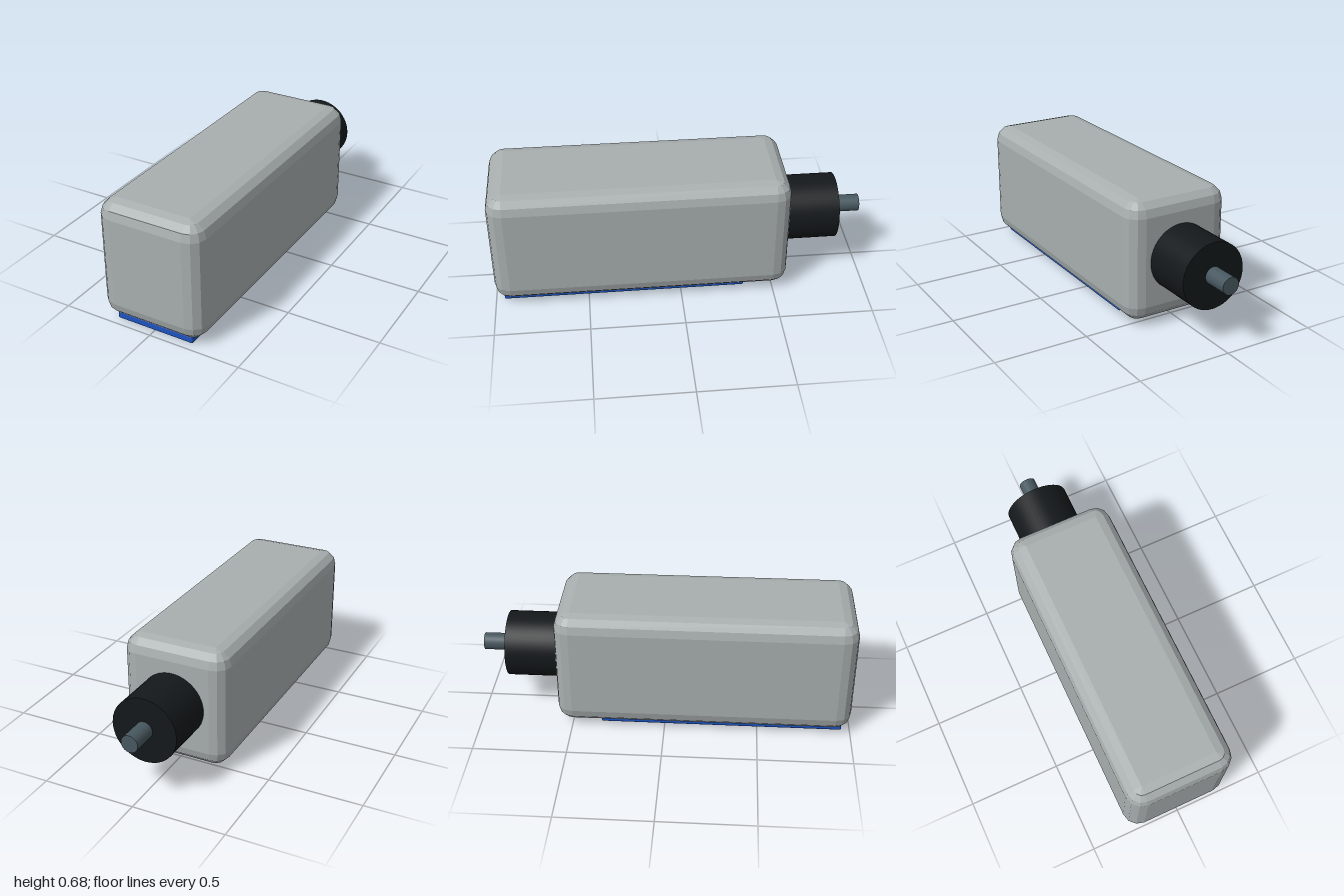
import * as THREE from 'three';

// Box with every edge rounded, built from stacked rounded-rectangle rings.
function roundedBox(w, h, d, r, seg) {
  const quarter = Math.PI / 2;
  const n = 4 * (seg + 1);
  const positions = [];
  const index = [];
  let rings = 0;
  for (const end of [-1, 1]) {
    for (let i = 0; i <= seg; i++) {
      const lat = (end < 0 ? i - seg : i) / seg * quarter;
      const y = end * (h / 2 - r) + r * Math.sin(lat);
      const rr = r * Math.cos(lat);
      for (let c = 0; c < 4; c++) {
        const sx = c === 0 || c === 3 ? 1 : -1;
        const sz = c < 2 ? 1 : -1;
        for (let k = 0; k <= seg; k++) {
          const a = (c + k / seg) * quarter;
          positions.push(sx * (w / 2 - r) + rr * Math.cos(a), y, sz * (d / 2 - r) + rr * Math.sin(a));
        }
      }
      rings++;
    }
  }
  for (let j = 0; j < rings - 1; j++) {
    for (let i = 0; i < n; i++) {
      const a = j * n + i;
      const b = j * n + (i + 1) % n;
      index.push(a, a + n, b, b, a + n, b + n);
    }
  }
  // Flat caps
  const top = (rings - 1) * n;
  for (let i = 1; i < n - 1; i++) {
    index.push(0, i, i + 1, top, top + i + 1, top + i);
  }
  const geometry = new THREE.BufferGeometry();
  geometry.setAttribute('position', new THREE.Float32BufferAttribute(positions, 3));
  geometry.setIndex(index);
  geometry.computeVertexNormals();
  return geometry;
}

export function createModel() {
  const group = new THREE.Group();

  function add(name, geometry, color, y, z, flatShading = false) {
    const material = new THREE.MeshStandardMaterial({ color, flatShading });
    const mesh = new THREE.Mesh(geometry, material);
    mesh.name = name;
    mesh.position.set(0, y, z);
    group.add(mesh);
  }

  // Cylinder lying along z between two depths
  function addRod(name, radius, z0, z1, color, y) {
    const geometry = new THREE.CylinderGeometry(radius, radius, z1 - z0, 48).rotateX(Math.PI / 2);
    add(name, geometry, color, y, (z0 + z1) / 2);
  }

  // Main housing with broad three-step bevels
  add('housing', roundedBox(0.576, 0.65, 1.58, 0.085, 3), 0xa8aeae, 0.365, 0.21, true);

  // Thin plate under the housing
  add('basePlate', roundedBox(0.436, 0.036, 1.3, 0.006, 3), 0x1c52bd, 0.03, 0.305, true);

  // Collar and shaft at the back
  addRod('collar', 0.176, -0.86, -0.56, 0x14181a, 0.365);
  addRod('shaft', 0.046, -1, -0.85, 0x485860, 0.369);

  return group;
}
